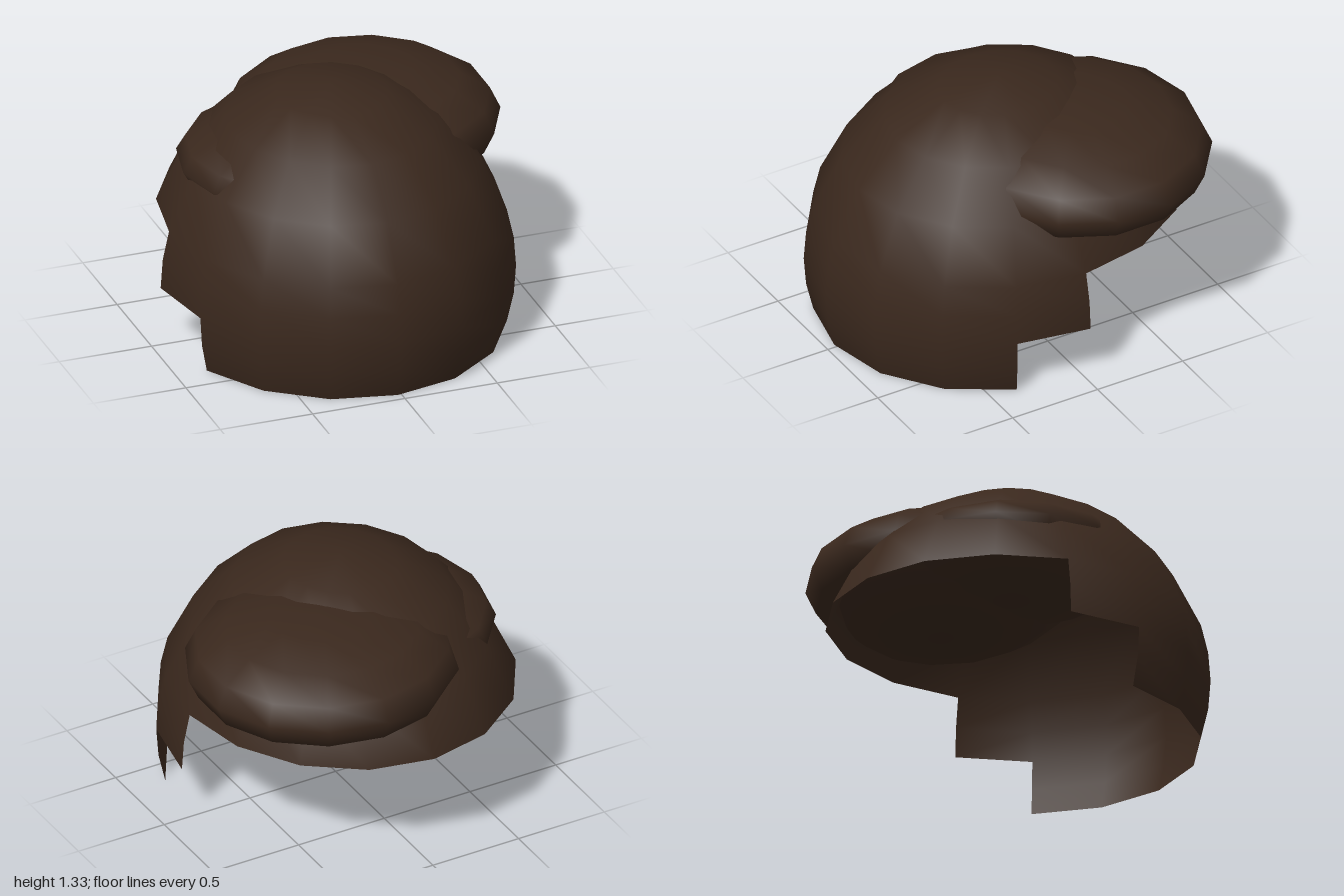
import * as THREE from 'three';

export function createModel() {
  const group = new THREE.Group();
  const brown = new THREE.MeshStandardMaterial({ color: 0x3a281d, side: THREE.DoubleSide });
  brown.name = 'darkBrown';

  // Open shell: full crown, then narrowing bands down the front
  const step = Math.PI / 10; // height of one ring
  const shell = new THREE.Group();
  shell.name = 'shell';
  shell.position.set(-0.02, 0.315, -0.015);
  shell.scale.set(0.925, 1.015, 1.015);
  const bands = [
    // name, first segment, segments, first ring, rings
    ['crown', 0, 16, 0, 4],
    ['upperFrontBand', 0, 8, 4, 1],
    ['lowerFrontBand', 1, 6, 5, 1],
  ];
  for (const [name, seg, segs, ring, rings] of bands) {
    const band = new THREE.Mesh(
      new THREE.SphereGeometry(1, segs, rings, seg * Math.PI / 8, segs * Math.PI / 8, ring * step, rings * step),
      brown
    );
    band.name = name;
    shell.add(band);
  }
  group.add(shell);

  // Flattened lobes sunk into the shell; phiStart turns their facets
  const addLobe = (name, position, radii, phiStart) => {
    const lobe = new THREE.Mesh(new THREE.SphereGeometry(1, 14, 8, phiStart), brown);
    lobe.name = name;
    lobe.position.set(...position);
    lobe.scale.set(...radii);
    group.add(lobe);
  };
  addLobe('largeLeftLobe', [0.255, 0.945, -0.31], [0.71, 0.3, 0.69], Math.PI / 2);
  addLobe('smallRightLobe', [-0.17, 0.915, -0.075], [0.63, 0.216, 0.63], 0);

  return group;
}
